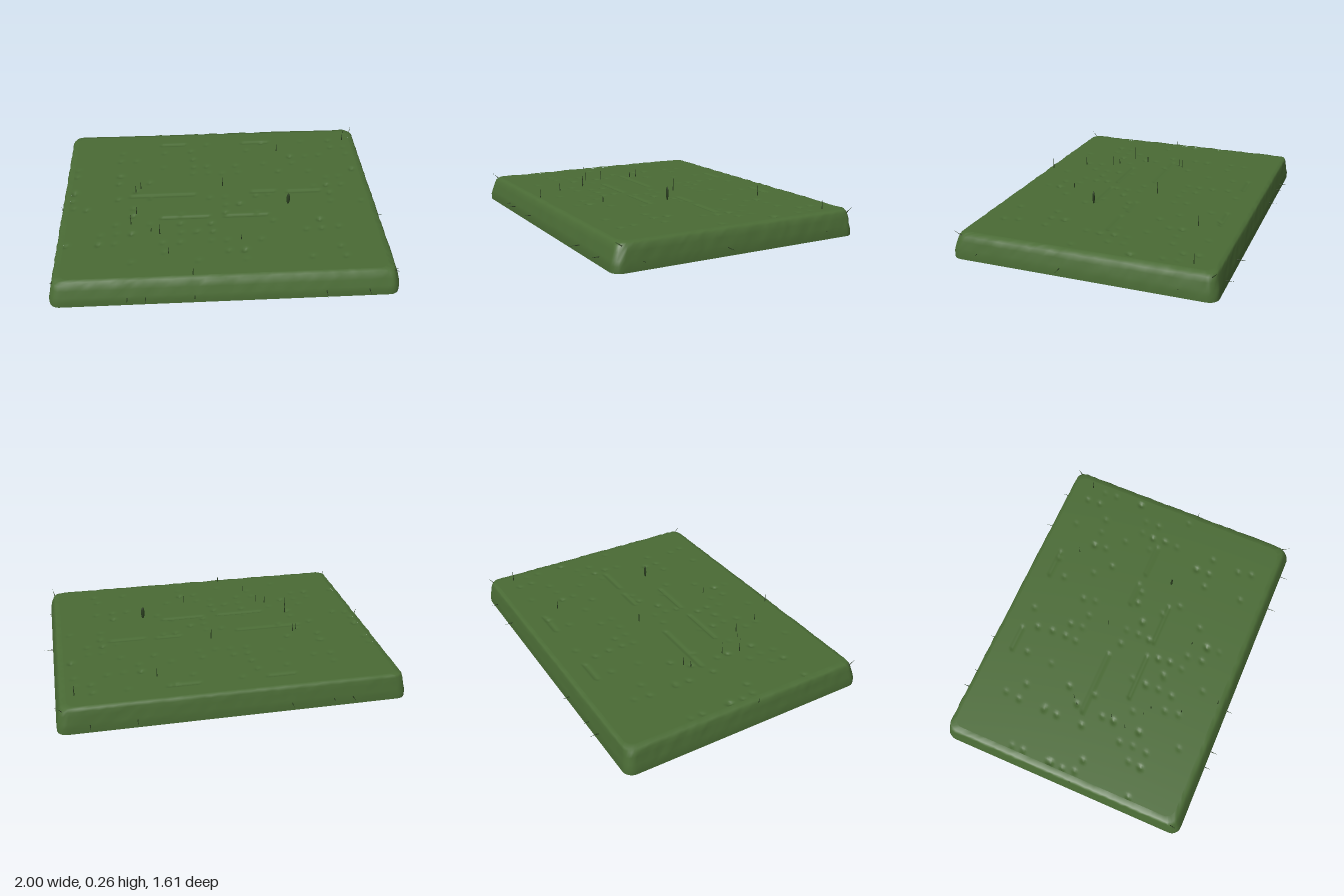
import * as THREE from 'three';

const green = new THREE.MeshStandardMaterial({ color: 0x4a6b35 });
const darkGreen = new THREE.MeshStandardMaterial({ color: 0x2a3d20 });
const soil = new THREE.MeshStandardMaterial({ color: 0x1c1c1c });
green.name = 'grassGreen';
darkGreen.name = 'bladeDarkGreen';
soil.name = 'undersideBlack';

const RADIUS = 0.055;

function seeded(seed) {
  return () => {
    seed = (seed * 16807) % 2147483647;
    return seed / 2147483647;
  };
}

// Points around a rounded rectangle, turning from +x towards +z
function outline([x0, x1, z0, z1]) {
  const pts = [];
  const cx = [x1 - RADIUS, x0 + RADIUS], cz = [z1 - RADIUS, z0 + RADIUS];
  const corner = (q, t) => {
    const a = (q + t) * Math.PI / 2;
    const right = q % 4 === 0 || q % 4 === 3;
    return new THREE.Vector2(
      cx[right ? 0 : 1] + RADIUS * Math.cos(a),
      cz[q % 4 < 2 ? 0 : 1] + RADIUS * Math.sin(a),
    );
  };
  for (let q = 0; q < 4; q++) {
    for (let k = 0; k <= 6; k++) pts.push(corner(q, k / 6));
    // straight run to the next corner, divided so it can ripple
    const from = corner(q, 1), to = corner(q + 1, 0);
    for (let k = 1; k < 48; k++) pts.push(from.clone().lerp(to, k / 48));
  }
  return pts;
}

// Levels of the slab: left, right, back and front limits, then height
const levels = [
  [-1.0, 0.945, -0.75, 0.75, 0],
  [-1.0, 0.945, -0.75, 0.75, 0.035],
  [-0.995, 0.942, -0.748, 0.745, 0.06],
  [-0.988, 0.935, -0.742, 0.732, 0.1],
  [-0.982, 0.926, -0.738, 0.722, 0.128],
  [-0.972, 0.915, -0.732, 0.708, 0.142],
  [-0.94, 0.885, -0.71, 0.685, 0.145],
];

function makeSides() {
  const rand = seeded(71);
  const pos = [], idx = [];
  levels.forEach((level, j) => {
    const rough = j > 1 && j < 6 ? 0.005 : 0;
    outline(level).forEach(({ x, y: z }) => {
      const d = 1 - rough * rand();
      pos.push(x * d, level[4] + rough * (rand() - 0.5), z * d);
    });
  });
  const n = pos.length / 3 / levels.length;
  for (let j = 0; j < levels.length - 1; j++) {
    for (let i = 0; i < n; i++) {
      const a = j * n + i, b = j * n + (i + 1) % n;
      idx.push(a, a + n, b, b, a + n, b + n);
    }
  }
  const g = new THREE.BufferGeometry();
  g.setAttribute('position', new THREE.Float32BufferAttribute(pos, 3));
  g.setIndex(idx);
  g.computeVertexNormals();
  return g;
}

// Long shallow creases on the turf: start x, end x, z
const creases = [
  [-0.38, -0.23, -0.6], [0.16, 0.33, -0.6], [-0.57, -0.18, -0.04], [0.18, 0.32, -0.05],
  [0.4, 0.6, -0.04], [-0.38, -0.1, 0.18], [0.0, 0.25, 0.18],
];

function makeTurf() {
  const rand = seeded(1234);
  // small pits lie on a loose grid
  const pits = Array.from({ length: 110 }, () => [
    -0.92 + Math.floor(rand() * 20) * 0.0925 + (rand() - 0.5) * 0.02,
    -0.59 + Math.floor(rand() * 15) * 0.083 + (rand() - 0.5) * 0.02,
    0.003 + rand() * 0.007,
  ]);
  const [x0, x1, z0, z1, y] = levels[levels.length - 1];
  const g = new THREE.PlaneGeometry(x1 - x0, z1 - z0, 170, 130);
  g.rotateX(-Math.PI / 2);
  g.translate((x0 + x1) / 2, 0, (z0 + z1) / 2);
  const p = g.attributes.position;
  for (let i = 0; i < p.count; i++) {
    let x = p.getX(i), z = p.getZ(i), h = y;
    // round the four corners
    const cx = THREE.MathUtils.clamp(x, x0 + RADIUS, x1 - RADIUS);
    const cz = THREE.MathUtils.clamp(z, z0 + RADIUS, z1 - RADIUS);
    const d = Math.hypot(x - cx, z - cz);
    if (d > RADIUS) {
      x = cx + (x - cx) * RADIUS / d;
      z = cz + (z - cz) * RADIUS / d;
    }
    for (const [px, pz, depth] of pits) {
      const q = (x - px) ** 2 + (z - pz) ** 2;
      if (q < 0.002) h -= depth * Math.exp(-q / 0.00015);
    }
    for (const [a, b, c] of creases) {
      const dx = Math.max(a - x, 0, x - b);
      h -= 0.009 * Math.exp(-((z - c) ** 2 + dx * dx) / 0.00007);
    }
    p.setXYZ(i, x, h, z);
  }
  g.computeVertexNormals();
  return g;
}

// Upright blades on the turf: x, z, length
const uprightBlades = [
  [-0.56, 0.23, 0.09], [-0.53, 0.13, 0.08], [-0.54, -0.09, 0.06], [-0.51, -0.12, 0.07],
  [-0.39, 0.325, 0.08], [-0.44, 0.3, 0.05], [-0.205, 0.68, 0.075], [0, -0.12, 0.1],
  [0.08, 0.4, 0.06], [-0.34, 0.5, 0.06], [0.84, -0.6, 0.085], [0.38, -0.49, 0.07],
];

// Blades pointing out of the back, front and right edges: position along the edge, length
const backBlades = [[-0.68, 0.055], [-0.57, 0.035], [-0.33, 0.05], [0.52, 0.06], [0.77, 0.05]];
const frontBlades = [[-0.57, 0.04], [-0.47, 0.05], [-0.2, 0.04], [0.53, 0.06], [0.77, 0.05]];
const rightBlades = [[0.1, 0.065], [0.59, 0.035], [-0.55, 0.02]];

export function createModel() {
  const model = new THREE.Group();
  const add = (name, geometry, material, parent = model) => {
    const mesh = new THREE.Mesh(geometry, material);
    mesh.name = name;
    parent.add(mesh);
    return mesh;
  };

  add('slabSides', makeSides(), green);
  add('turfTop', makeTurf(), green);

  // Flat underside
  const base = new THREE.Shape(outline(levels[0]));
  add('underside', new THREE.ShapeGeometry(base), soil).rotation.x = Math.PI / 2;

  // Thin grass blades
  const grass = new THREE.Group();
  grass.name = 'grassBlades';
  model.add(grass);
  const up = new THREE.Vector3(0, 1, 0);
  const addBlade = (x, y, z, dx, dy, dz) => {
    const dir = new THREE.Vector3(dx, dy, dz);
    const len = dir.length();
    const cone = new THREE.ConeGeometry(0.0035, len, 5).translate(0, len / 2, 0);
    const blade = add('blade', cone, darkGreen, grass);
    blade.position.set(x, y, z);
    blade.quaternion.setFromUnitVectors(up, dir.normalize());
  };
  uprightBlades.forEach(([x, z, len]) => addBlade(x, 0.14, z, 0, len, 0));
  backBlades.forEach(([x, len]) => addBlade(x, 0.045, -0.745, 0, 0, -len));
  frontBlades.forEach(([x, len]) => addBlade(x, 0.045, 0.745, 0, 0, len));
  rightBlades.forEach(([z, len]) => addBlade(0.935, 0.045, z, len, 0, 0));

  // Splayed blades at the corners
  addBlade(-0.97, 0.12, 0.68, -0.015, 0.05, 0.05);
  addBlade(-0.975, 0.12, 0.06, -0.01, 0.05, 0);
  addBlade(0.91, 0.12, -0.71, 0.015, 0.04, -0.035);
  addBlade(0.91, 0.12, 0.68, 0.015, 0.04, 0.06);

  // Small leaf hovering above the turf
  const leaf = add('floatingLeaf', new THREE.SphereGeometry(1, 8, 6), darkGreen);
  leaf.scale.set(0.011, 0.039, 0.006);
  leaf.position.set(0.38, 0.226, 0.14);

  return model;
}
